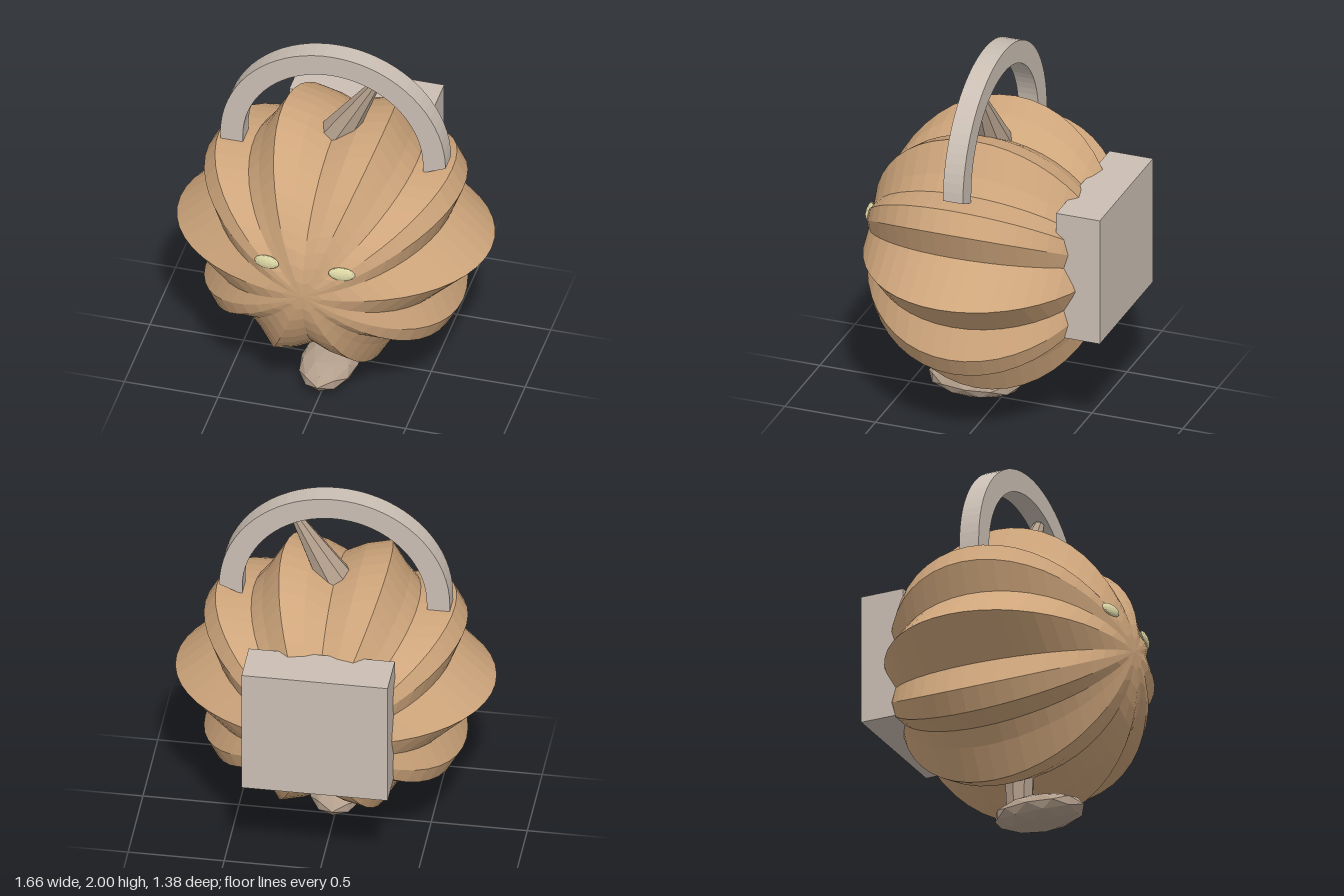
import * as THREE from 'three';

const material = (color) => new THREE.MeshStandardMaterial({ color, flatShading: true, roughness: 0.9 });
const TAN = material(0xcfa67c), GREY = material(0xcbbfb4), STEM = material(0xb39f8c), EYE = material(0xdcd6a4);
const CENTRE_Y = 0.89, CENTRE_Z = 0.03, HALF_DEPTH = 0.66;

function add(group, name, geometry, mat, x = 0, y = 0, z = 0) {
  const mesh = new THREE.Mesh(geometry, mat);
  mesh.name = name;
  mesh.position.set(x, y, z);
  group.add(mesh);
  return mesh;
}

// Ribbed outline: one quarter, mirrored into a full counter-clockwise loop
function ribbedOutline() {
  const q = [[0.83, 0], [0.62, 0.2], [0.68, 0.36], [0.62, 0.47], [0.43, 0.47], [0.37, 0.55], [0.28, 0.71], [0.13, 0.67], [0, 0.6]];
  const half = [...q, ...q.slice(0, -1).reverse().map(([x, y]) => [-x, y])];
  return [...half, ...half.slice(1, -1).reverse().map(([x, y]) => [x, -y])];
}

// Sweep the outline from pole to pole along z, scaled like a sphere
function bodyGeometry(rings = 24) {
  const outline = ribbedOutline(), n = outline.length;
  const positions = [], index = [];
  for (let i = 0; i <= rings; i++) {
    const t = (i / rings) * Math.PI;
    for (const [x, y] of outline) positions.push(x * Math.sin(t), y * Math.sin(t), HALF_DEPTH * Math.cos(t));
  }
  for (let i = 0; i < rings; i++) {
    for (let j = 0; j < n; j++) {
      const a = i * n + j, b = i * n + (j + 1) % n;
      if (i < rings - 1) index.push(a, a + n, b + n);
      if (i > 0) index.push(a, b + n, b);
    }
  }
  const geometry = new THREE.BufferGeometry();
  geometry.setAttribute('position', new THREE.Float32BufferAttribute(positions, 3));
  geometry.setIndex(index);
  geometry.computeVertexNormals();
  return geometry;
}

// Half ring with short straight legs
function handleGeometry() {
  const shape = new THREE.Shape();
  shape.moveTo(0.6, -0.05);
  shape.absarc(0, 0, 0.6, 0, Math.PI, false);
  shape.lineTo(-0.6, -0.05);
  shape.lineTo(-0.48, -0.05);
  shape.absarc(0, 0, 0.48, Math.PI, 0, true);
  shape.lineTo(0.48, -0.05);
  return new THREE.ExtrudeGeometry(shape, { depth: 0.11, bevelEnabled: false, curveSegments: 18 });
}

export function createModel() {
  const model = new THREE.Group();
  model.name = 'ribbedCreature';

  add(model, 'body', bodyGeometry(), TAN, 0, CENTRE_Y, CENTRE_Z);
  add(model, 'handle', handleGeometry(), GREY, 0, 1.4, -0.02);
  add(model, 'backBox', new THREE.BoxGeometry(0.76, 0.71, 0.24), GREY, 0, 0.967, -0.57);

  // Tapered horn leaning towards the model's left
  const base = new THREE.Vector3(-0.02, 1.42, CENTRE_Z), tip = new THREE.Vector3(0.205, 1.82, 0.04);
  const lean = tip.clone().sub(base);
  const horn = add(model, 'horn', new THREE.CylinderGeometry(0.03, 0.105, lean.length(), 8), STEM);
  horn.position.copy(base).add(tip).multiplyScalar(0.5);
  horn.quaternion.setFromUnitVectors(new THREE.Vector3(0, 1, 0), lean.normalize());

  // Single leg on a flattened foot
  add(model, 'leg', new THREE.CylinderGeometry(0.085, 0.07, 0.32, 8), STEM, 0, 0.28, CENTRE_Z);
  const foot = new THREE.IcosahedronGeometry(1, 1).scale(0.152, 0.085, 0.255);
  add(model, 'foot', foot, STEM, 0, 0.085, 0.145);

  // Eyes following the curve of the face
  for (const side of [-1, 1]) {
    const eye = add(model, side > 0 ? 'leftEye' : 'rightEye',
      new THREE.SphereGeometry(1, 12, 8).scale(0.07, 0.036, 0.018), EYE, side * 0.2, 1.05, 0.65);
    eye.rotation.set(-0.2, side * 0.2, side * -0.06);
  }
  return model;
}
